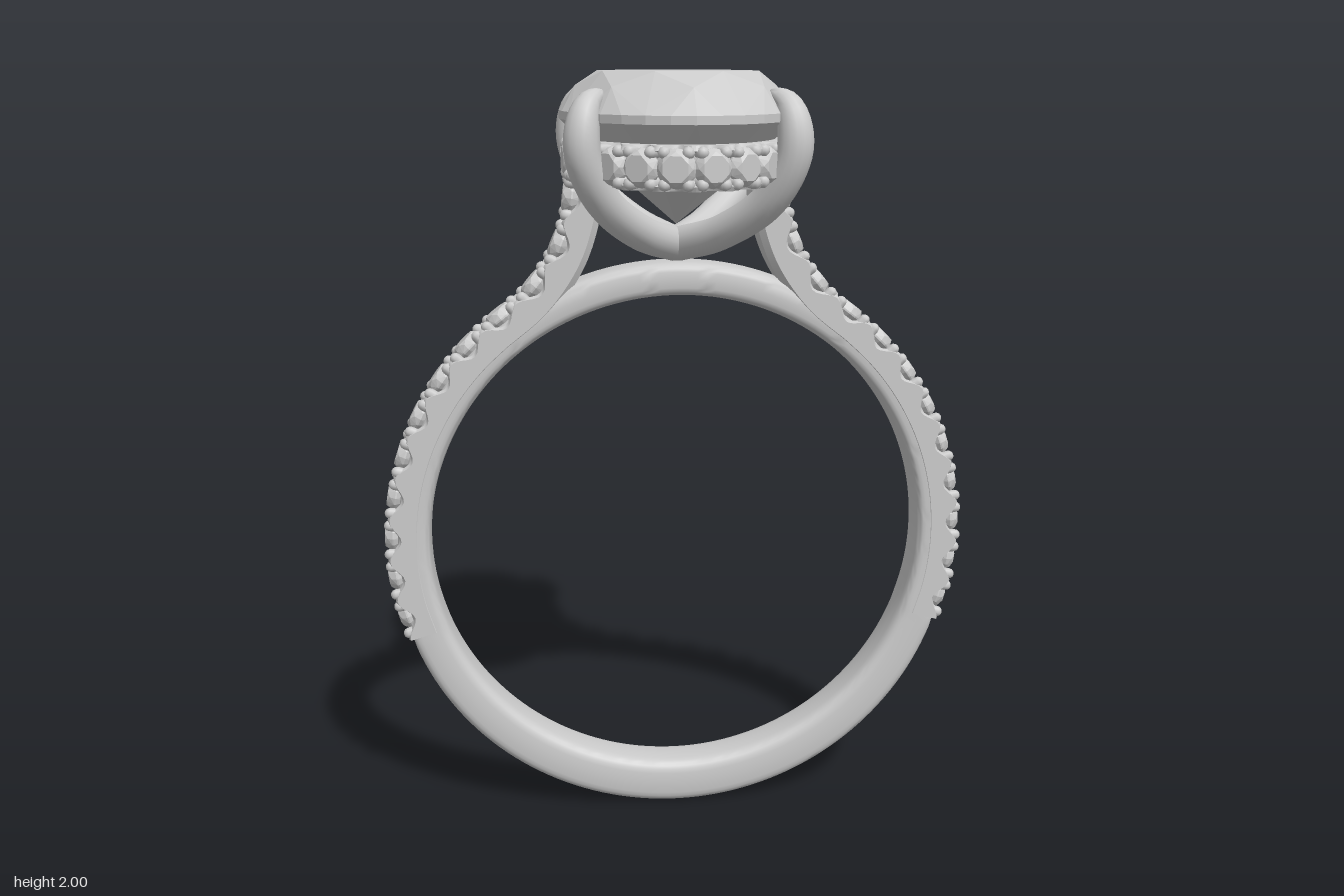
import * as THREE from 'three';
import { mergeGeometries, toCreasedNormals } from 'three/addons/utils/BufferGeometryUtils.js';
import { ConvexGeometry } from 'three/addons/geometries/ConvexGeometry.js';

const V = (x, y, z) => new THREE.Vector3(x, y, z);
const CENTRE_Y = 0.7825, BORE = 0.6575;

// Frame on a curve: n points outward, b across, t along.
function frameAt(curve, u, up) {
  const p = curve.getPointAt(u), t = curve.getTangentAt(u);
  const n = up.clone().cross(t).normalize();
  const b = n.clone().cross(t);
  return { p, t, n, b, at: (x, y) => p.clone().addScaledVector(b, x).addScaledVector(n, y) };
}

// Sweeps a section (u => list of [across, outward]) along a curve.
function sweep(curve, up, steps, closed, section) {
  const pos = [], idx = [], rings = closed ? steps : steps + 1;
  let m = 0;
  for (let i = 0; i < rings; i++) {
    const f = frameAt(curve, i / steps, up), s = section(i / steps);
    m = s.length;
    for (const [x, y] of s) pos.push(...f.at(x, y).toArray());
  }
  for (let i = 0; i < steps; i++) {
    const r0 = i * m, r1 = ((i + 1) % rings) * m;
    for (let j = 0; j < m; j++) {
      const k = (j + 1) % m;
      idx.push(r0 + j, r0 + k, r1 + j, r0 + k, r1 + k, r1 + j);
    }
  }
  if (!closed) {
    const e = (rings - 1) * m;
    for (let j = 1; j < m - 1; j++) idx.push(0, j + 1, j, e, e + j, e + j + 1);
  }
  const g = new THREE.BufferGeometry();
  g.setAttribute('position', new THREE.Float32BufferAttribute(pos, 3));
  g.setIndex(idx);
  return toCreasedNormals(g, 0.7);
}

// Rounded-box section.
function roundSection(w, h, cy, power, count = 28) {
  const soft = v => Math.sign(v) * Math.abs(v) ** power;
  return Array.from({ length: count }, (_, i) => {
    const a = (i / count) * Math.PI * 2;
    return [w * soft(Math.cos(a)), cy + h * soft(Math.sin(a))];
  });
}

// Brilliant-cut stone with its girdle at y = 0.
function gem(sx, sy, sz, girdle) {
  const pts = [V(0, -0.285 * sy, 0)];
  const ring = (count, r, y, shift) => {
    for (let i = 0; i < count; i++) {
      const a = ((i + shift) / count) * Math.PI * 2;
      pts.push(V(Math.cos(a) * r * sx, y * sy, Math.sin(a) * r * sz));
    }
  };
  ring(8, 0.7, 0.095, 0.5);
  ring(8, 0.86, 0.06, 0);
  ring(girdle, 1, 0, 0);
  ring(girdle, 1, -0.02, 0);
  ring(8, 0.5, -0.165, 0.5);
  return new ConvexGeometry(pts);
}

// Scalloped channel set with a row of stones and paired prongs.
function pave(name, curve, up, count, w, depth, closed, metal) {
  const group = new THREE.Group();
  group.name = name;
  const floor = -0.05, c = 0.016;
  const channel = sweep(curve, up, count * 10, closed, u => {
    const rail = -0.024 + 0.016 * Math.cos(u * count * Math.PI * 2);
    return [[-w + c, -depth], [w - c, -depth], [w, -depth + c], [w, rail - 0.006], [w - 0.012, rail],
      [0.028, floor], [-0.028, floor], [-w + 0.012, rail], [-w, rail - 0.006], [-w, -depth + c]];
  });
  const place = (geo, f, x, y) => {
    const o = f.at(x, y);
    return geo.clone().applyMatrix4(new THREE.Matrix4().makeBasis(f.b, f.n, f.t).setPosition(o));
  };
  const stone = gem(0.046, 0.22, 0.046, 16);
  const prong = new THREE.CapsuleGeometry(0.015, 0.04, 3, 8);
  const stones = [], prongs = [], gap = 0.0175 / curve.getLength();
  for (let i = 0; i < count; i++) {
    stones.push(place(stone, frameAt(curve, (i + 0.5) / count, up), 0, -0.021));
    for (const u of [i / count + gap, (i + 1) / count - gap]) {
      const f = frameAt(curve, u, up);
      for (const s of [-1, 1]) prongs.push(place(prong, f, s * (w - 0.016), -0.034));
    }
  }
  const parts = { Channel: channel, Stones: mergeGeometries(stones), Prongs: mergeGeometries(prongs) };
  for (const [part, geo] of Object.entries(parts)) {
    const mesh = new THREE.Mesh(geo, metal);
    mesh.name = name + part;
    group.add(mesh);
  }
  return group;
}

export function createModel() {
  const model = new THREE.Group();
  model.name = 'ring';
  const metal = new THREE.MeshStandardMaterial({ color: 0xcccccc });
  metal.name = 'silver';
  const add = (name, geo) => {
    const mesh = new THREE.Mesh(geo, metal);
    mesh.name = name;
    model.add(mesh);
    return mesh;
  };
  const loop = (rx, count, point) => new THREE.CatmullRomCurve3(
    Array.from({ length: count }, (_, i) => point((i / count) * Math.PI * 2)), true);
  const back = V(0, 0, -1), upward = V(0, 1, 0);

  // Hoop: thick plain base, thinner under the stones and across the top
  const bore = loop(BORE, 48, a => V(BORE * Math.cos(a), CENTRE_Y + BORE * Math.sin(a), 0));
  add('hoop', sweep(bore, back, 180, true, u => {
    const s = Math.sin(u * Math.PI * 2);
    const base = THREE.MathUtils.mapLinear(s, -1, -0.34, 0.125, 0.107);
    const t = THREE.MathUtils.lerp(base, 0.087, THREE.MathUtils.smoothstep(s, -0.35, -0.31));
    return roundSection(0.065, t / 2, t / 2, 0.5);
  }));

  // Shoulders: follow the hoop, then rise to the head
  const path = [];
  for (let i = 0; i <= 10; i++) {
    const a = THREE.MathUtils.degToRad(-19.5 + 6.95 * i);
    path.push(V(0.778 * Math.cos(a), CENTRE_Y + 0.778 * Math.sin(a), 0));
  }
  path.push(V(0.4, 1.462, 0), V(0.33, 1.56, 0), V(0.296, 1.66, 0), V(0.285, 1.75, 0));
  const shoulderCurve = new THREE.CatmullRomCurve3(path);
  const left = pave('leftShoulder', shoulderCurve, back, 12, 0.066, 0.1, false, metal);
  const right = pave('rightShoulder', shoulderCurve, back, 12, 0.066, 0.1, false, metal);
  right.rotation.y = Math.PI;
  model.add(left, right);

  // Halo under the centre stone
  const oval = loop(1, 48, a => V(0.292 * Math.cos(a), 1.787, 0.428 * Math.sin(a)));
  model.add(pave('halo', oval, upward, 24, 0.052, 0.075, true, metal));

  // Centre stone
  add('centreStone', gem(0.295, 1, 0.435, 32)).position.y = 1.905;

  // Four claws rising from a shared base and tapering over the stone
  for (const sx of [-1, 1]) for (const sz of [-1, 1]) {
    const claw = new THREE.CatmullRomCurve3([
      [0, 1.567, 0], [0.1, 1.612, 0.13], [0.2, 1.7, 0.24], [0.247, 1.8, 0.287],
      [0.25, 1.87, 0.29], [0.236, 1.922, 0.275], [0.2, 1.955, 0.238],
    ].map(([x, y, z]) => V(x * sx, y, z * sz)));
    const side = V(0.29 * sz, 0, -0.25 * sx).normalize();
    add('claw', sweep(claw, side, 40, false, u => {
      const k = Math.max(0, (u - 0.75) / 0.25);
      const r = 0.006 + 0.038 * Math.max(0, 1 - k * k) ** 0.7;
      return roundSection(r, r, 0, 1, 16);
    }));
  }
  return model;
}
